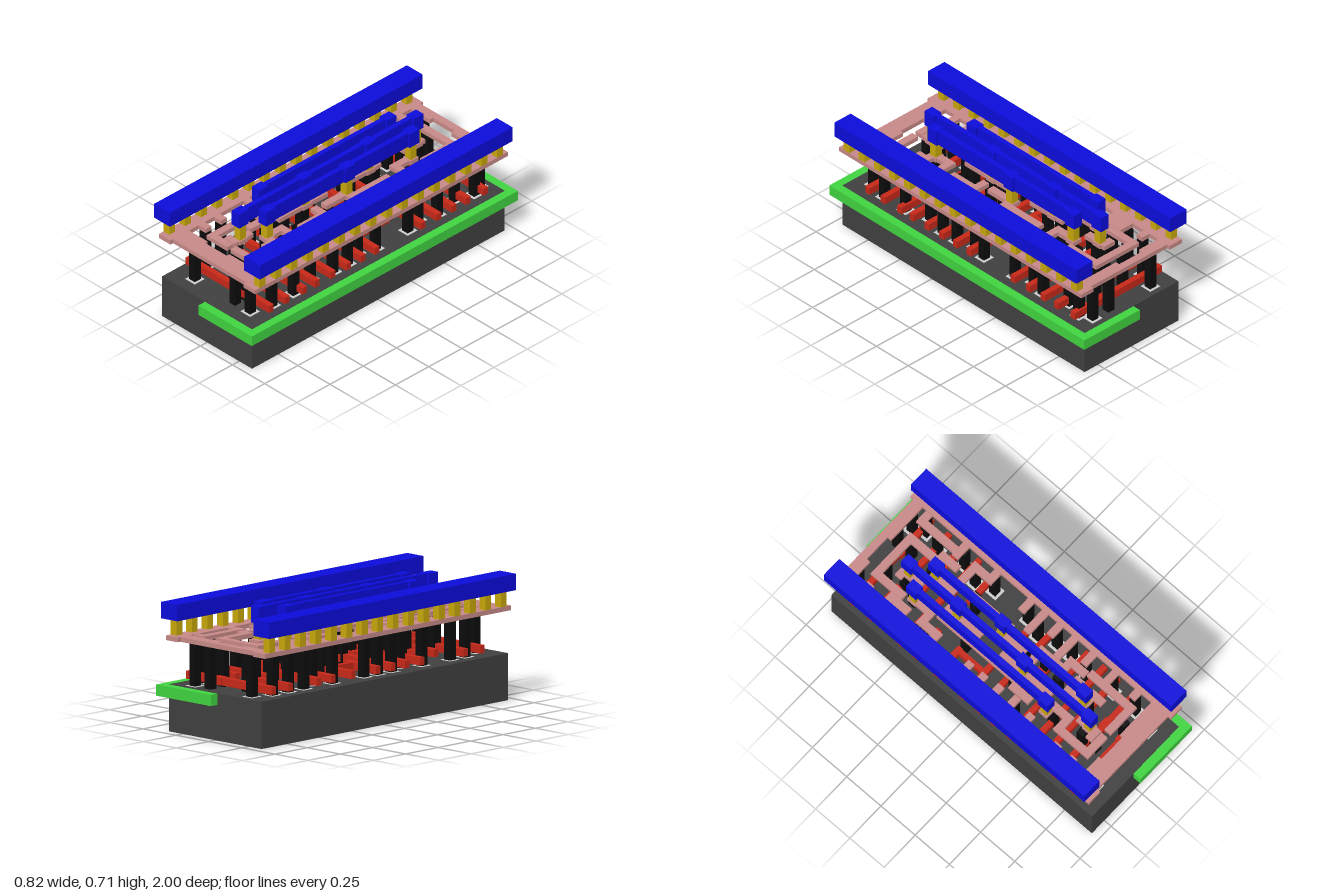
import * as THREE from 'three';

const material = (color) => new THREE.MeshStandardMaterial({ color, flatShading: true });

export function createModel() {
  const model = new THREE.Group();
  const dark = material(0x404040), green = material(0x40d440), red = material(0xc82818);
  const pink = material(0xc88a88), black = material(0x0c0c0c), gold = material(0xc8a80c);
  const blue = material(0x0c0cdc), pale = material(0xcccccc);

  const layer = (name) => {
    const g = new THREE.Group();
    g.name = name;
    model.add(g);
    return g;
  };
  // Box given by its limits along each axis
  const box = (parent, name, mat, x0, x1, y0, y1, z0, z1) => {
    const mesh = new THREE.Mesh(new THREE.BoxGeometry(x1 - x0, y1 - y0, z1 - z0), mat);
    mesh.position.set((x0 + x1) / 2, (y0 + y1) / 2, (z0 + z1) / 2);
    mesh.name = name;
    parent.add(mesh);
  };
  // Square post centred on (x, z)
  const post = (parent, name, mat, x, z, y0, y1, w = 0.045) =>
    box(parent, name, mat, x - w / 2, x + w / 2, y0, y1, z - w / 2, z + w / 2);
  // Right-angled strip through [x, z] points
  const wire = (parent, name, mat, pts, y0, y1, w) => {
    const h = w / 2;
    for (let i = 1; i < pts.length; i++) {
      const [a, b] = pts[i - 1], [c, d] = pts[i];
      box(parent, name, mat, Math.min(a, c) - h, Math.max(a, c) + h, y0, y1,
        Math.min(b, d) - h, Math.max(b, d) + h);
    }
  };

  // Base block and the well let into one side of its top
  const base = layer('base');
  box(base, 'baseBlock', dark, -0.35, 0.35, 0, 0.26, -0.95, 0.95);
  box(base, 'well', green, -0.015, 0.4, 0.197, 0.259, -1, 1);

  // Lower bars: [z, xStart, xEnd]
  const gates = layer('gateBars');
  const bars = [
    [-0.83, -0.325, 0.325], [-0.70, -0.325, -0.08], [-0.70, 0.08, 0.325], [-0.595, -0.1, 0.325],
    [-0.48, -0.325, 0.325], [-0.37, -0.325, -0.12], [-0.36, 0.1, 0.325], [-0.215, -0.325, -0.12],
    [-0.025, -0.325, -0.08], [-0.015, 0.06, 0.325], [0.09, -0.325, 0.325], [0.2, -0.325, 0.325],
    [0.315, -0.325, 0.325], [0.435, -0.22, 0.325], [0.53, -0.22, 0.325],
    [0.65, -0.325, -0.03], [0.66, -0.05, 0.325], [0.78, -0.325, 0.325],
  ];
  for (const [z, a, b] of bars) box(gates, 'gateBar', red, a, b, 0.28, 0.323, z - 0.017, z + 0.017);
  box(gates, 'gateLink', red, 0.125, 0.155, 0.28, 0.323, -0.275, 0);
  box(gates, 'gateLink', red, -0.155, -0.125, 0.28, 0.323, -0.23, -0.01);
  for (const z of [-0.83, -0.59, -0.47, 0.09, 0.2, 0.435, 0.66, 0.78])
    box(gates, 'gatePad', red, 0.05, 0.11, 0.28, 0.323, z - 0.026, z + 0.026);

  // Contact posts: x position -> z positions
  const contacts = layer('contacts');
  const pads = layer('contactPads');
  const columns = [
    [-0.208, [-0.88, -0.42, 0.255, 0.84]],
    [-0.255, [-0.77, -0.65, -0.53, -0.31, -0.065, 0.037, 0.145, 0.38, 0.6, 0.715]],
    [-0.085, [-0.79, -0.59, -0.205, 0.145, 0.43, 0.64]],
    [-0.045, [-0.69, -0.35, 0.2, 0.33, 0.7]],
    [0.062, [-0.59, -0.475, -0.065, 0.09, 0.33, 0.55]],
    [0.105, [-0.88, -0.78, -0.31, 0.2, 0.43, 0.77, 0.84]],
    [0.222, [-0.88, -0.695, -0.42, 0.037, 0.39, 0.84]],
    [0.258, [-0.81, -0.53, -0.31, -0.065, 0.145, 0.255, 0.55, 0.715]],
  ];
  for (const [x, zs] of columns)
    for (const z of zs) {
      post(contacts, 'contact', black, x, z, 0.26, 0.5);
      if (Math.abs(x) > 0.2) post(pads, 'contactPad', pale, x, z, 0.255, 0.261, 0.075);
    }

  // Lower metal sheet: rails, end plates, fingers and winding strips
  const metal = layer('lowerMetal');
  const Y0 = 0.5, Y1 = 0.526;
  for (const s of [-1, 1])
    box(metal, 'rail', pink, s < 0 ? -0.375 : 0.285, s < 0 ? -0.285 : 0.375, Y0, Y1, -0.95, 0.95);
  box(metal, 'endPlate', pink, -0.285, 0.285, Y0, Y1, 0.83, 0.93);
  box(metal, 'endPlate', pink, -0.285, 0.285, Y0, Y1, -0.93, -0.885);
  for (const [a, b] of [[-0.285, -0.14], [0.03, 0.285]]) {
    box(metal, 'endTab', pink, a, b, Y0, Y1, 0.81, 0.83);
    box(metal, 'endTab', pink, a, b, Y0, Y1, -0.885, -0.86);
  }
  box(metal, 'broadFinger', pink, -0.285, -0.19, Y0, Y1, -0.66, -0.51);
  // Fingers from each rail: [side, z, inner reach]
  const fingers = [
    [-1, -0.77, 0.23], [-1, -0.31, 0.2], [-1, -0.065, 0.2], [-1, 0.037, 0.2], [-1, 0.145, 0.19],
    [-1, 0.255, 0.18], [-1, 0.38, 0.2], [-1, 0.6, 0.23], [-1, 0.715, 0.23],
    [1, -0.54, 0.19], [1, -0.31, 0.2], [1, -0.065, 0.2], [1, 0.037, 0.13], [1, 0.145, 0.2],
    [1, 0.255, 0.13], [1, 0.39, 0.2], [1, 0.55, 0.2], [1, 0.715, 0.23],
  ];
  for (const [s, z, r] of fingers)
    box(metal, 'finger', pink, s < 0 ? -0.29 : r, s < 0 ? -r : 0.29, Y0, Y1, z - 0.022, z + 0.022);
  const strips = [
    [[-0.165, -0.61], [-0.165, -0.79], [0.11, -0.79], [0.11, -0.59], [0.15, -0.59], [0.15, -0.5]],
    [[0.258, -0.81], [0.222, -0.81], [0.222, -0.56]],
    [[-0.045, -0.58], [-0.045, -0.69], [-0.08, -0.69]],
    [[-0.137, -0.54], [-0.137, -0.42], [-0.208, -0.42], [-0.208, -0.31]],
    [[0.042, -0.54], [0.062, -0.475], [0.222, -0.42], [0.222, -0.31]].map(([x, z], i) => (i === 1 ? [0.042, -0.42] : [x, z])),
    [[-0.11, -0.36], [-0.11, 0.2], [-0.15, 0.2], [-0.15, 0.3]],
    [[-0.045, -0.36], [-0.045, -0.15]],
    [[0.09, -0.31], [0.09, -0.055], [0.042, -0.055], [0.042, 0.09]],
    [[-0.045, 0.04], [-0.045, 0.36]],
    [[0.042, 0.17], [0.105, 0.17], [0.105, 0.33], [0.165, 0.33], [0.165, 0.42]],
    [[-0.137, 0.415], [-0.085, 0.415], [-0.085, 0.54], [-0.165, 0.54], [-0.165, 0.75], [-0.05, 0.75]],
    [[0.042, 0.54], [0.042, 0.43], [0.105, 0.43]],
    [[0.185, 0.47], [0.185, 0.75], [0.02, 0.75]],
    [[-0.045, 0.6], [-0.045, 0.7], [-0.08, 0.7]],
    [[0.062, 0.55], [0.105, 0.55], [0.105, 0.6]],
  ];
  for (const pts of strips) wire(metal, 'strip', pink, pts, Y0, Y1, 0.045);

  // Upper metal: two broad rails on rows of vias
  const vias = layer('vias');
  const upper = layer('upperMetal');
  for (const s of [-1, 1]) {
    box(upper, 'upperRail', blue, s * 0.35 - 0.061, s * 0.35 + 0.061, 0.615, 0.706, -0.95, 0.95);
    for (let i = 0; i < 16; i++) post(vias, 'via', gold, s * 0.352, -0.892 + i * 0.119, Y1, 0.615);
  }
  // Three thin signal lines: [x, pad positions]
  const lines = [[-0.134, [-0.54, 0.42]], [-0.045, [-0.657, -0.3, 0.18, 0.657]], [0.043, [-0.54, -0.057, 0.54]]];
  for (const [x, zs] of lines) {
    box(upper, 'signalLine', blue, x - 0.015, x + 0.015, 0.615, 0.705, zs[0], zs[zs.length - 1]);
    for (const z of zs) {
      box(upper, 'signalPad', blue, x - 0.029, x + 0.029, 0.615, 0.706, z - 0.036, z + 0.036);
      post(vias, 'via', gold, x, z, Y1, 0.615);
      post(metal, 'landing', pink, x, z, Y0, Y1, 0.06);
    }
  }
  return model;
}
